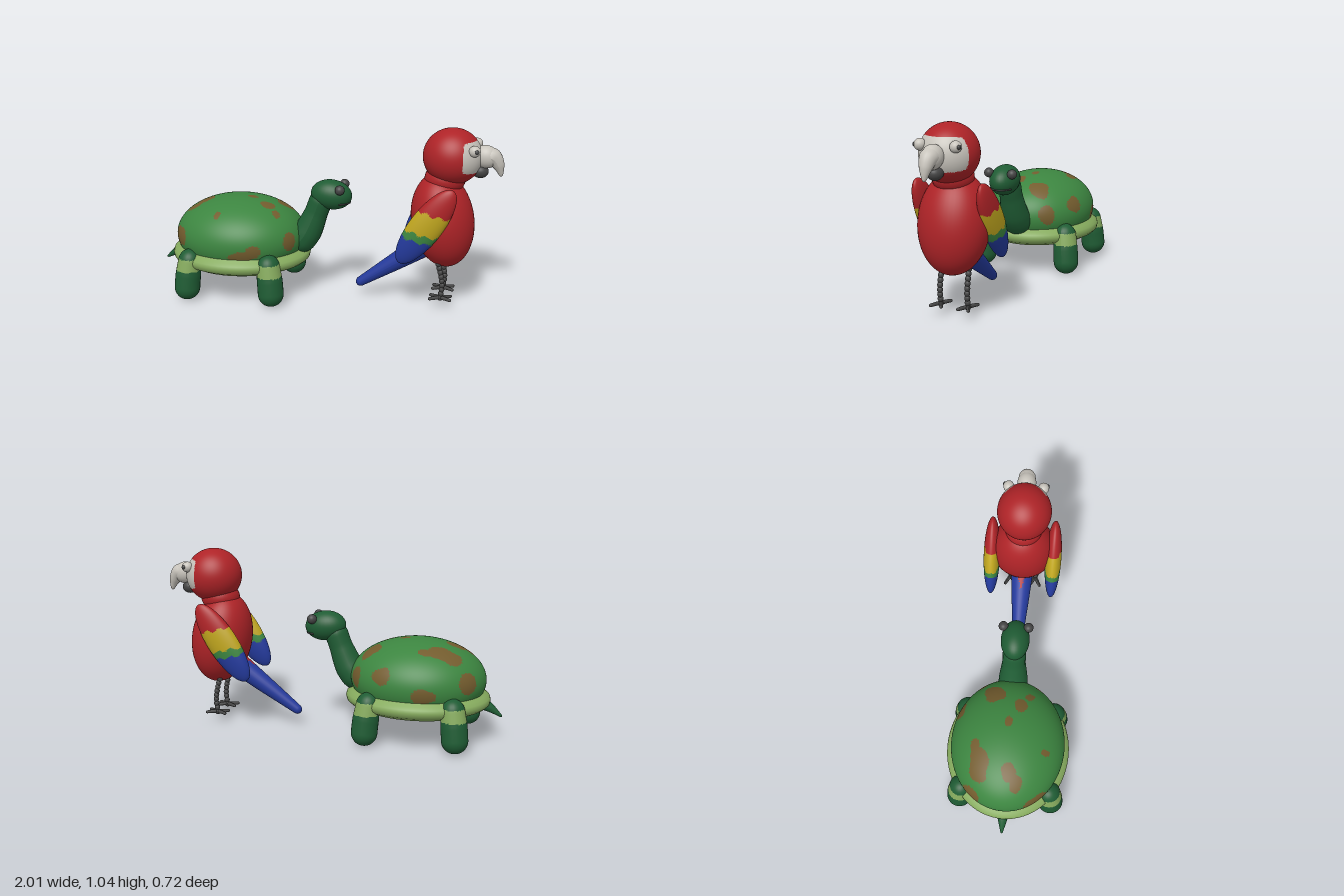
import * as THREE from 'three';

const mat = (name, color, side = THREE.FrontSide) => {
  const m = new THREE.MeshStandardMaterial({ color, side });
  m.name = name;
  return m;
};

export function createModel() {
  const shellGreen = mat('shell green', 0x3c8540);
  const skinGreen = mat('dark skin green', 0x1f5c34);
  const rimGreen = mat('pale rim green', 0x86ab5e, THREE.DoubleSide);
  const brown = mat('patch brown', 0x735c2e);
  const red = mat('feather red', 0xae2327);
  const blue = mat('feather blue', 0x243a9c);
  const yellow = mat('feather yellow', 0xbfa51e);
  const white = mat('bone white', 0xc8c4bc);
  const grey = mat('dark grey', 0x454545);

  const model = new THREE.Group();
  const turtle = new THREE.Group();
  const parrot = new THREE.Group();
  turtle.name = 'turtle';
  parrot.name = 'parrot';
  model.add(turtle, parrot);

  const add = (parent, name, geometry, material) => {
    const mesh = new THREE.Mesh(geometry, material);
    mesh.name = name;
    parent.add(mesh);
    return mesh;
  };

  const ellipsoid = (c, r, tilt = 0, seg = 32) =>
    new THREE.SphereGeometry(1, seg, Math.round(seg * 0.7))
      .scale(...r).rotateZ(tilt).translate(...c);

  // Round-ended limb swept through points with changing radius
  const limb = (points, radii, rings = 40, sides = 18) => {
    const curve = new THREE.CatmullRomCurve3(points.map(p => new THREE.Vector3(...p)));
    const g = new THREE.TubeGeometry(curve, rings, 1, sides);
    const len = curve.getLength();
    const pos = g.attributes.position;
    const v = new THREE.Vector3();
    const cap = (d, r) => (d < r ? Math.sqrt(Math.max(0, 1 - (1 - d / r) ** 2)) : 1);
    for (let i = 0; i <= rings; i++) {
      // rings are packed towards the two ends by the cosine
      const t = (1 - Math.cos(Math.PI * i / rings)) / 2;
      const c = curve.getPointAt(t);
      const base = curve.getPointAt(i / rings);
      const k = t * (radii.length - 1);
      const a = Math.min(Math.floor(k), radii.length - 2);
      const r = THREE.MathUtils.lerp(radii[a], radii[a + 1], k - a);
      const s = r * cap(t * len, r) * cap((1 - t) * len, r);
      for (let j = 0; j <= sides; j++) {
        const n = i * (sides + 1) + j;
        v.fromBufferAttribute(pos, n).sub(base).multiplyScalar(s).add(c);
        pos.setXYZ(n, v.x, v.y, v.z);
      }
    }
    g.computeVertexNormals();
    return g;
  };

  // Sort faces into material groups; rule(x, y, z) gives a material number
  const paint = (g, count, rule) => {
    const pos = g.attributes.position;
    const lists = Array.from({ length: count }, () => []);
    const idx = g.index.array;
    for (let i = 0; i < idx.length; i += 3) {
      const tri = [idx[i], idx[i + 1], idx[i + 2]];
      const mid = k => tri.reduce((s, n) => s + pos.array[n * 3 + k], 0) / 3;
      lists[rule(mid(0), mid(1), mid(2))].push(...tri);
    }
    g.setIndex(lists.flat());
    g.clearGroups();
    let start = 0;
    lists.forEach((l, i) => { g.addGroup(start, l.length, i); start += l.length; });
    return g;
  };

  // Shell with brown blotches: centre x, y, z and half sizes
  const blotches = [
    [-0.69, 0.53, -0.15, 0.11, 0.1, 0.055], [-0.58, 0.55, -0.18, 0.035, 0.1, 0.03],
    [-0.72, 0.52, 0.02, 0.06, 0.1, 0.04], [-0.78, 0.5, 0.065, 0.045, 0.1, 0.035],
    [-0.44, 0.57, 0, 0.03, 0.05, 0.024], [-0.27, 0.48, -0.09, 0.065, 0.1, 0.065],
    [-0.34, 0.5, 0.06, 0.05, 0.1, 0.04], [-0.28, 0.46, 0.1, 0.035, 0.07, 0.05],
    [-0.36, 0.41, -0.28, 0.06, 0.05, 0.05], [-0.59, 0.505, 0.2, 0.02, 0.02, 0.05],
    [-0.83, 0.36, 0.18, 0.06, 0.055, 0.08], [-0.86, 0.31, 0.12, 0.05, 0.04, 0.1],
    [-0.43, 0.3, 0.31, 0.075, 0.035, 0.06], [-0.36, 0.33, 0.29, 0.04, 0.045, 0.06],
    [-0.19, 0.36, 0.15, 0.04, 0.06, 0.06], [-0.6, 0.32, -0.32, 0.07, 0.045, 0.06],
    [-0.82, 0.38, -0.19, 0.06, 0.06, 0.06], [-0.19, 0.37, -0.17, 0.04, 0.06, 0.06],
    [-0.5, 0.11, 0.02, 0.11, 0.05, 0.05], [-0.68, 0.15, -0.06, 0.05, 0.05, 0.05],
  ];
  const isBlotch = (x, y, z) => blotches.some(([a, b, c, p, q, r]) =>
    ((x - a) / p) ** 2 + ((y - b) / q) ** 2 + ((z - c) / r) ** 2 <
    1 + 0.2 * Math.sin(60 * x + 25 * z));
  add(turtle, 'shell', paint(ellipsoid([-0.515, 0.343, 0], [0.388, 0.233, 0.33], 0, 140), 2,
    (x, y, z) => (isBlotch(x, y, z) ? 1 : 0)), [shellGreen, brown]);

  // Pale rim and underside ring
  const rim = [[0.62, 0.155], [0.82, 0.175], [0.95, 0.2], [0.99, 0.215], [1, 0.235],
    [0.985, 0.252], [0.94, 0.267], [0.86, 0.29]].map(p => new THREE.Vector2(...p));
  add(turtle, 'shellRim', new THREE.LatheGeometry(rim, 72).scale(0.415, 1, 0.36)
    .translate(-0.515, 0, 0), rimGreen);

  // Four stubby legs with a pale band where they meet the rim
  for (const side of [-1, 1]) for (const end of [-1, 1]) {
    const x = d => -0.518 + end * d;
    const leg = limb([[x(0.258), 0.002, side * 0.277], [x(0.25), 0.12, side * 0.268],
      [x(0.228), 0.305, side * 0.25]], [0.075, 0.074, 0.062], 60, 24);
    add(turtle, 'leg', paint(leg, 2, (px, y) => (y > 0.185 && y < 0.256 ? 1 : 0)),
      [skinGreen, rimGreen]);
  }

  // Neck, head, eyes, mouth and tail
  add(turtle, 'neck', limb([[-0.2, 0.27, 0], [-0.115, 0.37, 0], [-0.06, 0.49, 0],
    [-0.01, 0.63, 0]], [0.09, 0.085, 0.068, 0.068]), skinGreen);
  add(turtle, 'head', ellipsoid([0.034, 0.614, 0], [0.121, 0.087, 0.083], -0.1), skinGreen);
  for (const side of [-1, 1])
    add(turtle, 'eye', ellipsoid([0.097, 0.662, side * 0.072], [0.028, 0.028, 0.028]), grey);
  add(turtle, 'mouth', limb([[0.09, 0.572, 0.066], [0.13, 0.572, 0.036], [0.143, 0.572, 0],
    [0.13, 0.572, -0.036], [0.09, 0.572, -0.066]], [0.005, 0.005]), grey);
  add(turtle, 'tail', limb([[-0.84, 0.235, 0], [-0.92, 0.2, 0], [-0.998, 0.147, 0]],
    [0.045, 0.028, 0.006]), skinGreen);

  // Parrot body and head with a white face mask
  add(parrot, 'body', ellipsoid([0.68, 0.507, 0], [0.178, 0.276, 0.195], 0.17, 48), red);
  add(parrot, 'neck', ellipsoid([0.685, 0.75, 0], [0.115, 0.09, 0.11]), red);
  const onFace = (x, y, z) => x > 0.79 &&
    ((y - 0.893) / 0.088) ** 4 + (z / 0.158) ** 4 < 1;
  add(parrot, 'head', paint(ellipsoid([0.722, 0.881, 0], [0.165, 0.159, 0.157], 0, 110), 2,
    (x, y, z) => (onFace(x, y, z) ? 1 : 0)), [red, white]);

  // Beak
  add(parrot, 'beakBase', ellipsoid([0.905, 0.888, 0], [0.07, 0.064, 0.055], -0.3), white);
  add(parrot, 'beakHook', limb([[0.88, 0.9, 0], [0.945, 0.885, 0], [0.978, 0.84, 0],
    [0.994, 0.78, 0]], [0.055, 0.05, 0.032, 0.008]), white);
  add(parrot, 'lowerBeak', ellipsoid([0.878, 0.803, 0], [0.046, 0.038, 0.042]), grey);

  // Tail with a red streak by the body
  const tail = limb([[0.66, 0.4, 0], [0.43, 0.24, 0], [0.188, 0.073, 0]],
    [0.075, 0.052, 0.026], 70, 30);
  add(parrot, 'tail', paint(tail, 2, (x, y, z) =>
    (x > 0.47 && Math.abs(z) < 0.3 * (x - 0.47) ? 1 : 0)), [blue, red]);

  for (const side of [-1, 1]) {
    // Wings banded red, yellow, green and blue
    const wing = ellipsoid([0.605, 0.515, side * 0.186], [0.092, 0.262, 0.049], -0.59, 110);
    add(parrot, 'wing', paint(wing, 4, (x, y) => {
      const h = y + 0.25 * (x - 0.6) + 0.008 * Math.sin(90 * x);
      return h > 0.605 ? 0 : h > 0.475 ? 1 : h > 0.43 ? 2 : 3;
    }), [red, yellow, shellGreen, blue]);

    // Eyes
    add(parrot, 'eye', ellipsoid([0.848, 0.937, side * 0.1], [0.033, 0.031, 0.031]), white);
    add(parrot, 'pupil', ellipsoid([0.86, 0.938, side * 0.122], [0.014, 0.013, 0.012]), grey);

    // Ringed legs
    const z = side * 0.08;
    const path = new THREE.CatmullRomCurve3([[0.665, 0.29], [0.685, 0.22], [0.698, 0.14],
      [0.69, 0.06]].map(([x, y]) => new THREE.Vector3(x, y, z)));
    const leg = new THREE.Group();
    leg.name = 'parrotLeg';
    parrot.add(leg);
    for (let i = 0; i <= 9; i++) {
      const p = path.getPointAt(i / 9);
      add(leg, 'legRing', ellipsoid(p.toArray(), [0.016, 0.018, 0.016], 0, 14), grey);
    }

    // Two toes forward, two back
    for (const [dx, dz] of [[0.065, 0.035], [0.065, -0.035], [-0.065, 0.035], [-0.065, -0.035]])
      add(leg, 'toe', limb([[0.69, 0.062, z], [0.69 + dx / 2, 0.062, z + dz / 2],
        [0.69 + dx, 0.06, z + dz]], [0.012, 0.009], 14, 10), grey);
  }
  return model;
}
